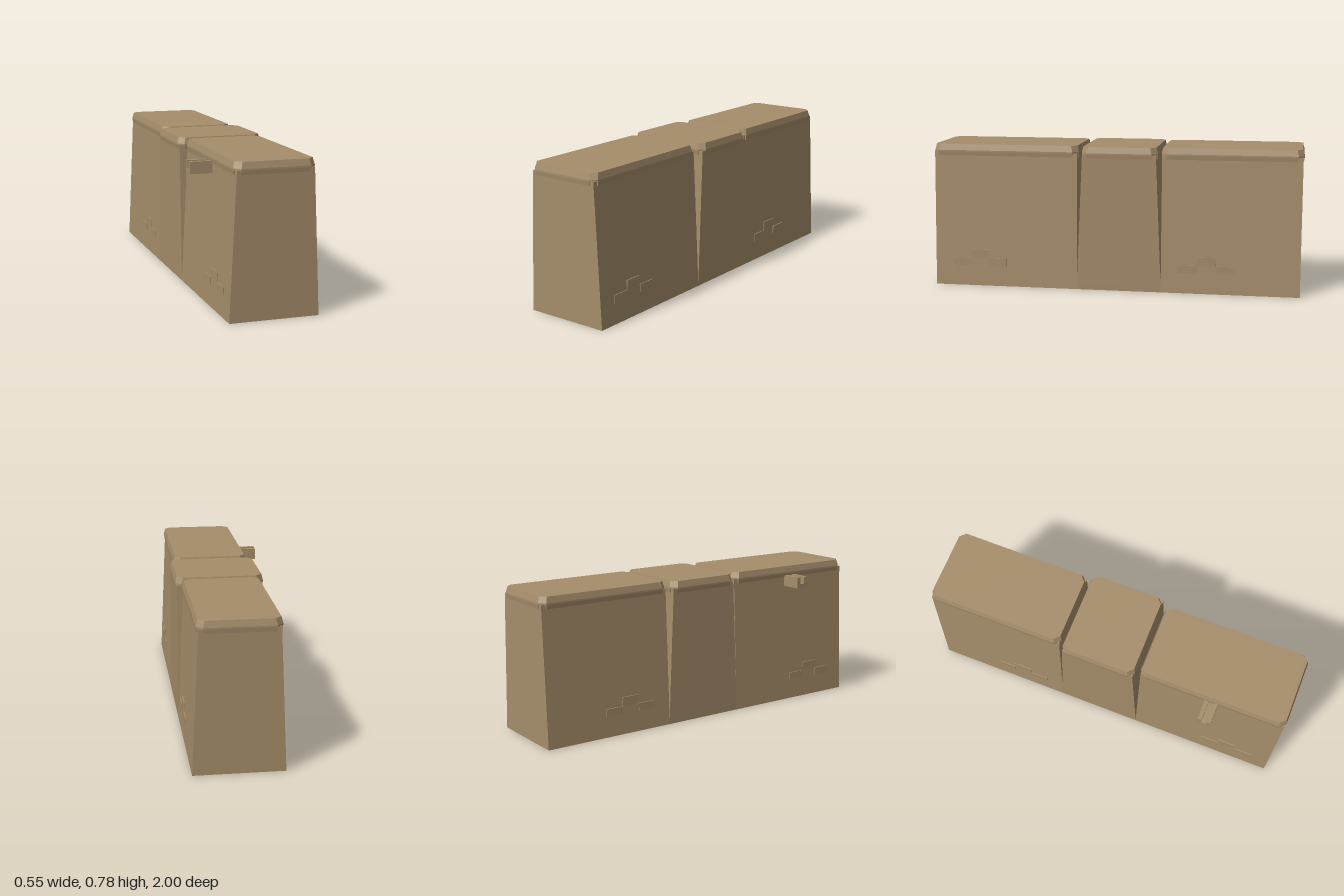
import * as THREE from 'three';

const stone = new THREE.MeshStandardMaterial({ color: 0xa58d6a });
stone.name = 'sandstone';

// Rectangle ring at height y, with optional cut corners
function ring(y, x0, x1, z0, z1, c = 0) {
  const p = c
    ? [[x1, z1 - c], [x1, z0 + c], [x1 - c, z0], [x0 + c, z0], [x0, z0 + c], [x0, z1 - c], [x0 + c, z1], [x1 - c, z1]]
    : [[x1, z1], [x1, z0], [x0, z0], [x0, z1]];
  return p.map(([x, z]) => [x, y, z]);
}

// Closed flat-faced solid through a stack of rings, bottom to top
function loft(name, rings) {
  const v = [];
  const tri = (a, b, c) => v.push(...a, ...b, ...c);
  const n = rings[0].length;
  for (let r = 0; r < rings.length - 1; r++) {
    const a = rings[r], b = rings[r + 1];
    for (let i = 0; i < n; i++) {
      const j = (i + 1) % n;
      tri(a[i], a[j], b[j]);
      tri(a[i], b[j], b[i]);
    }
  }
  const lo = rings[0], hi = rings[rings.length - 1];
  for (let i = 1; i < n - 1; i++) {
    tri(lo[0], lo[i + 1], lo[i]);
    tri(hi[0], hi[i], hi[i + 1]);
  }
  const g = new THREE.BufferGeometry();
  g.setAttribute('position', new THREE.Float32BufferAttribute(v, 3));
  g.computeVertexNormals();
  const m = new THREE.Mesh(g, stone);
  m.name = name;
  return m;
}

function box(name, x0, x1, y0, y1, z0, z1) {
  const m = new THREE.Mesh(new THREE.BoxGeometry(x1 - x0, y1 - y0, z1 - z0), stone);
  m.position.set((x0 + x1) / 2, (y0 + y1) / 2, (z0 + z1) / 2);
  m.name = name;
  return m;
}

// Capstone with cut corners, sloped rim and a skirt along each side
function cap(x0, x1, z0, z1) {
  const g = new THREE.Group();
  g.name = 'capstone';
  const c = 0.03, s = 0.008, t = 0.02, lo = 0.716, mid = 0.742;
  g.add(loft('capTop', [
    ring(0.737, x0, x1, z0, z1, c),
    ring(0.745, x0, x1, z0, z1, c),
    ring(0.778, x0 + s, x1 - s, z0 + s, z1 - s, c),
  ]));
  const skirt = (a0, a1, b0, b1, dx0, dx1, dz0, dz1) => g.add(loft('capSkirt', [
    ring(lo, a0 + dx0, a1 - dx1, b0 + dz0, b1 - dz1), ring(mid, a0, a1, b0, b1),
  ]));
  const d = 0.003;
  skirt(x0, x0 + t, z0 + c, z1 - c, d, 0, 0, 0);
  skirt(x1 - t, x1, z0 + c, z1 - c, 0, d, 0, 0);
  skirt(x0 + c, x1 - c, z0, z0 + t, 0, 0, d, 0);
  skirt(x0 + c, x1 - c, z1 - t, z1, 0, 0, 0, d);
  return g;
}

export function createModel() {
  const model = new THREE.Group();
  model.name = 'wallBlocks';
  const X0 = -0.191, X1 = 0.27;

  // End blocks lean inward on their long sides
  for (const [name, z0, z1] of [['frontBlock', 0.203, 0.995], ['backBlock', -0.995, -0.256]]) {
    const g = new THREE.Group();
    g.name = name;
    g.add(loft('body', [ring(0, X0, X1, z0, z1), ring(0.738, -0.157, 0.235, z0, z1)]));
    g.add(cap(-0.167, 0.244, z0 - 0.005, z1 + 0.005));
    model.add(g);
  }

  // Middle block leans inward at its ends
  const middle = new THREE.Group();
  middle.name = 'middleBlock';
  middle.add(loft('body', [
    ring(0, X0, X1, -0.256, 0.203),
    ring(0.03, X0, X1, -0.256, 0.203),
    ring(0.738, X0, X1, -0.227, 0.17),
  ]));
  middle.add(cap(-0.196, 0.273, -0.234, 0.176));
  model.add(middle);

  // Raised bricks, three on each long face of both end blocks
  for (const zc of [0.745, -0.5]) {
    for (const [dz, y0, y1] of [[-0.1, 0.11, 0.152], [0, 0.152, 0.2], [0.1, 0.11, 0.152]]) {
      const out = y0 > 0.13 ? 0.266 : 0.268;
      model.add(box('brickLeft', 0.24, out, y0, y1, zc + dz - 0.05, zc + dz + 0.05));
      model.add(box('brickRight', 0.079 - out, -0.161, y0, y1, zc + dz - 0.05, zc + dz + 0.05));
    }
  }

  // Open channel spout
  const spout = new THREE.Group();
  spout.name = 'spout';
  spout.add(box('spoutFloor', -0.275, -0.15, 0.666, 0.69, 0.564, 0.636));
  spout.add(box('spoutWall', -0.275, -0.15, 0.69, 0.728, 0.564, 0.586));
  spout.add(box('spoutWall', -0.275, -0.15, 0.69, 0.728, 0.614, 0.636));
  model.add(spout);

  return model;
}
